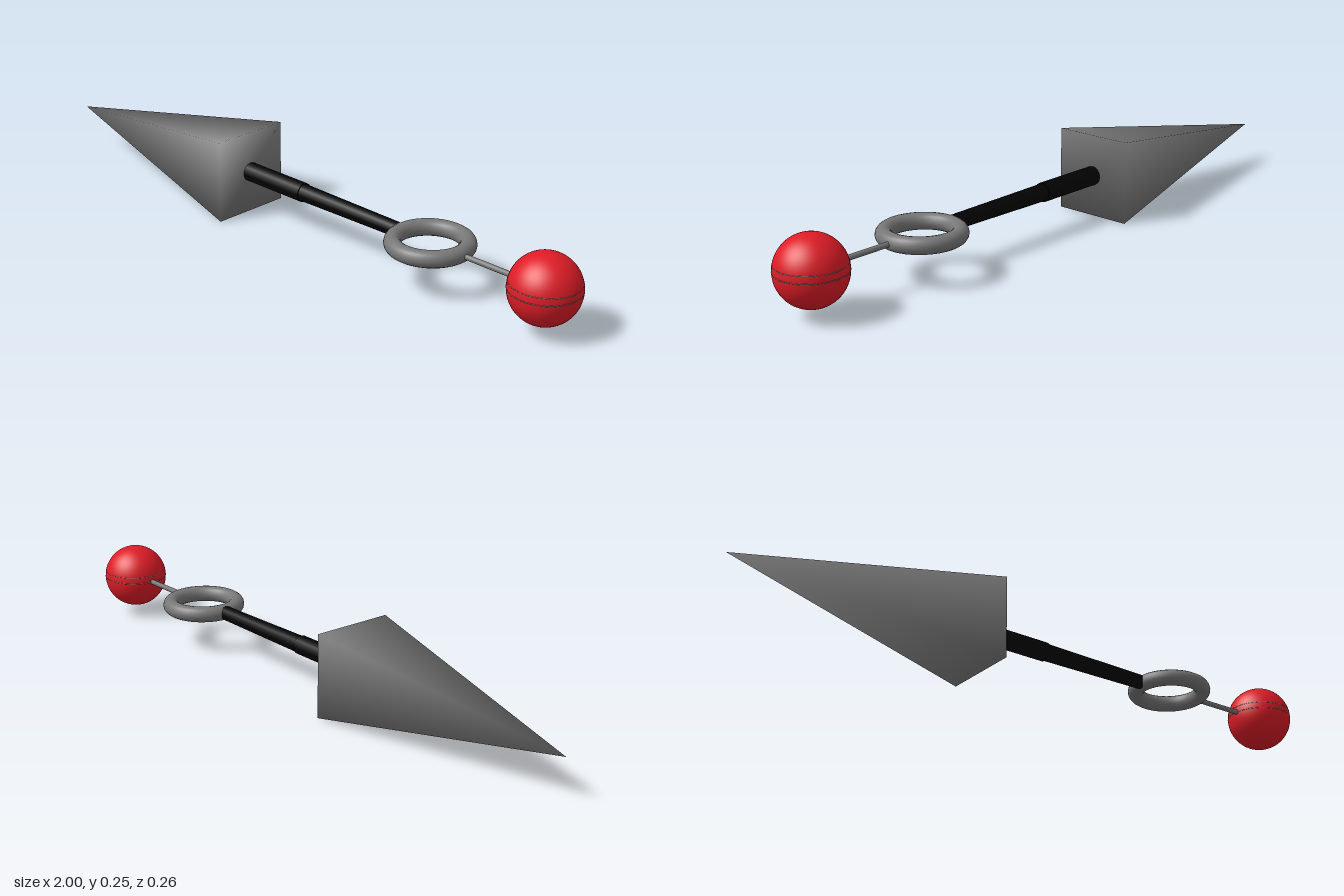
import * as THREE from 'three';

const AXIS_Y = 0.126; // height of the long axis

export function createModel() {
  const makeMaterial = (name, color) => {
    const material = new THREE.MeshStandardMaterial({ color });
    material.name = name;
    return material;
  };
  const grey = makeMaterial('steel grey', 0x777777);
  const black = makeMaterial('grip black', 0x030303);
  const red = makeMaterial('ball red', 0xde1c26);

  const model = new THREE.Group();
  model.name = 'dart';

  const add = (name, geometry, material, x, y = 0) => {
    const mesh = new THREE.Mesh(geometry, material);
    mesh.name = name;
    mesh.position.set(x, AXIS_Y + y, 0);
    model.add(mesh);
  };

  // Round bar along x from x0 to x1
  const bar = (name, material, x0, x1, r0, r1) => {
    const g = new THREE.CylinderGeometry(r1, r0, x1 - x0, 16);
    g.rotateZ(-Math.PI / 2);
    add(name, g, material, (x0 + x1) / 2);
  };

  // Ring lying flat around a vertical axis
  const flatRing = (name, radius, tube, sides, x, y) => {
    const g = new THREE.TorusGeometry(radius, tube, sides, 48);
    g.rotateX(Math.PI / 2);
    add(name, g, grey, x, y);
  };

  // Four-sided head with welded, smooth-shaded corners; the tip points to -x
  const h = 0.126;
  const head = new THREE.BufferGeometry();
  head.setAttribute('position', new THREE.Float32BufferAttribute([
    -0.803, 0, 0, // tip
    0, h, h,
    0, h, -h,
    0, -h, -h,
    0, -h, h,
  ], 3));
  const faces = [1, 4, 2, 2, 4, 3]; // base
  for (let i = 0; i < 4; i++) faces.push(0, 1 + i, 1 + ((i + 1) % 4));
  head.setIndex(faces);
  head.computeVertexNormals();
  add('head', head, grey, -0.197);

  // Handle: thicker sleeve, then a slimmer tapering grip
  bar('sleeve', black, -0.2, 0.03, 0.029, 0.029);
  bar('grip', black, 0.03, 0.4, 0.026, 0.022);

  // Flat-lying ring, thin link and end ball
  flatRing('ring', 0.1035, 0.0245, 16, 0.514);
  bar('link', grey, 0.62, 0.82, 0.008, 0.008);
  add('ball', new THREE.SphereGeometry(0.1, 48, 32), red, 0.9);

  // Two hairline seams around the middle of the ball
  flatRing('lowerSeam', 0.0992, 0.0015, 6, 0.9, 0);
  flatRing('upperSeam', 0.0972, 0.0015, 6, 0.9, 0.0195);

  return model;
}
